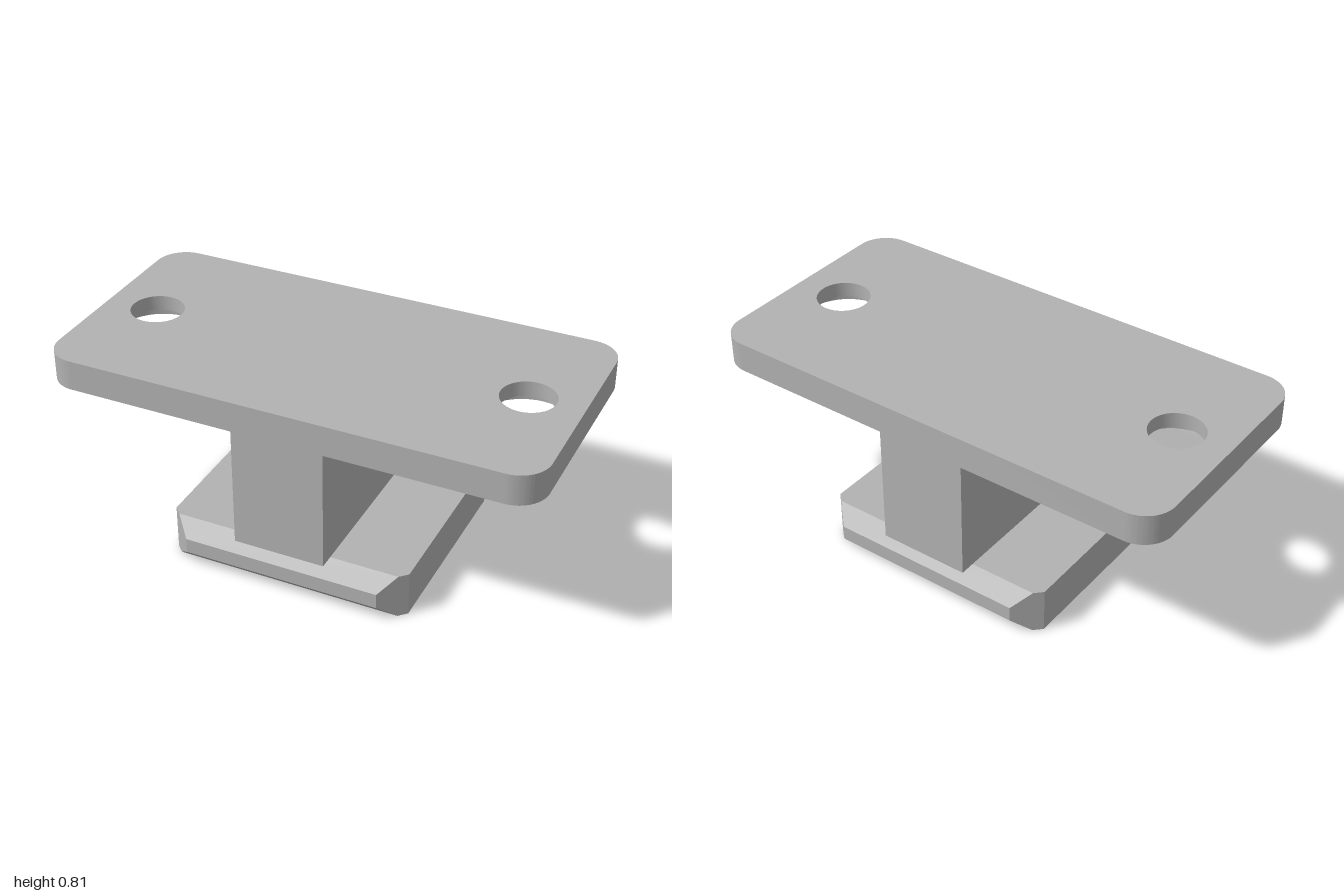
import * as THREE from 'three';
import { mergeGeometries, toCreasedNormals } from 'three/addons/utils/BufferGeometryUtils.js';
import { ConvexGeometry } from 'three/addons/geometries/ConvexGeometry.js';

const HOLE_X = 0.7815, HOLE_R = 0.1085, BORE_R = 0.1875;
const PLATE_LOW = 0.6875, PLATE_MID = 0.75, PLATE_TOP = 0.8125;
const CURVE = 24; // gives 48 sides per full circle

// Rounded plate outline, with optional pair of screw holes
function plateShape(holeRadius) {
  const w = 1, d = 0.5, r = 0.125, s = new THREE.Shape();
  s.moveTo(w, -d + r);
  s.lineTo(w, d - r);
  s.absarc(w - r, d - r, r, 0, Math.PI / 2);
  s.lineTo(-w + r, d);
  s.absarc(-w + r, d - r, r, Math.PI / 2, Math.PI);
  s.lineTo(-w, -d + r);
  s.absarc(-w + r, -d + r, r, Math.PI, Math.PI * 1.5);
  s.lineTo(w - r, -d);
  s.absarc(w - r, -d + r, r, Math.PI * 1.5, Math.PI * 2);
  if (holeRadius) {
    for (const side of [-1, 1]) {
      s.holes.push(new THREE.Path().absarc(side * HOLE_X, 0, holeRadius, 0, Math.PI * 2, true));
    }
  }
  return s;
}

// Outer wall of the plate: extrusion sides without the caps
function plateWall() {
  const full = new THREE.ExtrudeGeometry(plateShape(), {
    depth: PLATE_TOP - PLATE_LOW, bevelEnabled: false, curveSegments: CURVE,
  });
  const { start, count } = full.groups[1];
  const pos = full.attributes.position.array.slice(start * 3, (start + count) * 3);
  const wall = new THREE.BufferGeometry();
  wall.setAttribute('position', new THREE.BufferAttribute(pos, 3));
  wall.rotateX(-Math.PI / 2).translate(0, PLATE_LOW, 0);
  return toCreasedNormals(wall, 0.6);
}

// Flat plate face, turned up or down
function plateFace(holeRadius, y, up) {
  const g = new THREE.ShapeGeometry(plateShape(holeRadius), CURVE).toNonIndexed();
  g.deleteAttribute('uv');
  return g.rotateX(up ? -Math.PI / 2 : Math.PI / 2).translate(0, y, 0);
}

// Stepped bore: narrow above, wide counterbore below
function boreGeometry() {
  const profile = [
    [HOLE_R, PLATE_TOP], [HOLE_R, PLATE_MID], [BORE_R, PLATE_MID], [BORE_R, PLATE_LOW],
  ].map(([r, y]) => new THREE.Vector2(r, y));
  return toCreasedNormals(new THREE.LatheGeometry(profile, CURVE * 2), 0.6);
}

// Foot block: bevelled front and back edges, 45 degree vertical corners
function footGeometry() {
  const corner = 0.90625, points = []; // x + z along the corner cut
  for (const [y, z] of [[0, 0.4375], [0.0625, 0.5], [0.125, 0.5], [0.1875, 0.4375]]) {
    for (const sx of [-1, 1]) for (const sz of [-1, 1]) {
      points.push(new THREE.Vector3(sx * 0.5, y, sz * (corner - 0.5)));
      points.push(new THREE.Vector3(sx * (corner - z), y, sz * z));
    }
  }
  return new ConvexGeometry(points);
}

export function createModel() {
  const group = new THREE.Group();
  group.name = 'mountingBracket';
  const grey = new THREE.MeshStandardMaterial({ color: 0xb2b2b2 });
  grey.name = 'grey';

  const add = (name, geometry) => {
    const mesh = new THREE.Mesh(geometry, grey);
    mesh.name = name;
    group.add(mesh);
    return mesh;
  };

  // Top plate
  add('topPlate', mergeGeometries([
    plateWall(),
    plateFace(HOLE_R, PLATE_TOP, true),
    plateFace(BORE_R, PLATE_LOW, false),
  ]));

  // Screw holes
  add('leftScrewHole', boreGeometry()).position.x = HOLE_X;
  add('rightScrewHole', boreGeometry()).position.x = -HOLE_X;

  // Stem
  add('stem', new THREE.BoxGeometry(0.375, 0.5, 1)).position.y = 0.4375;

  // Foot
  add('foot', footGeometry());

  return group;
}
